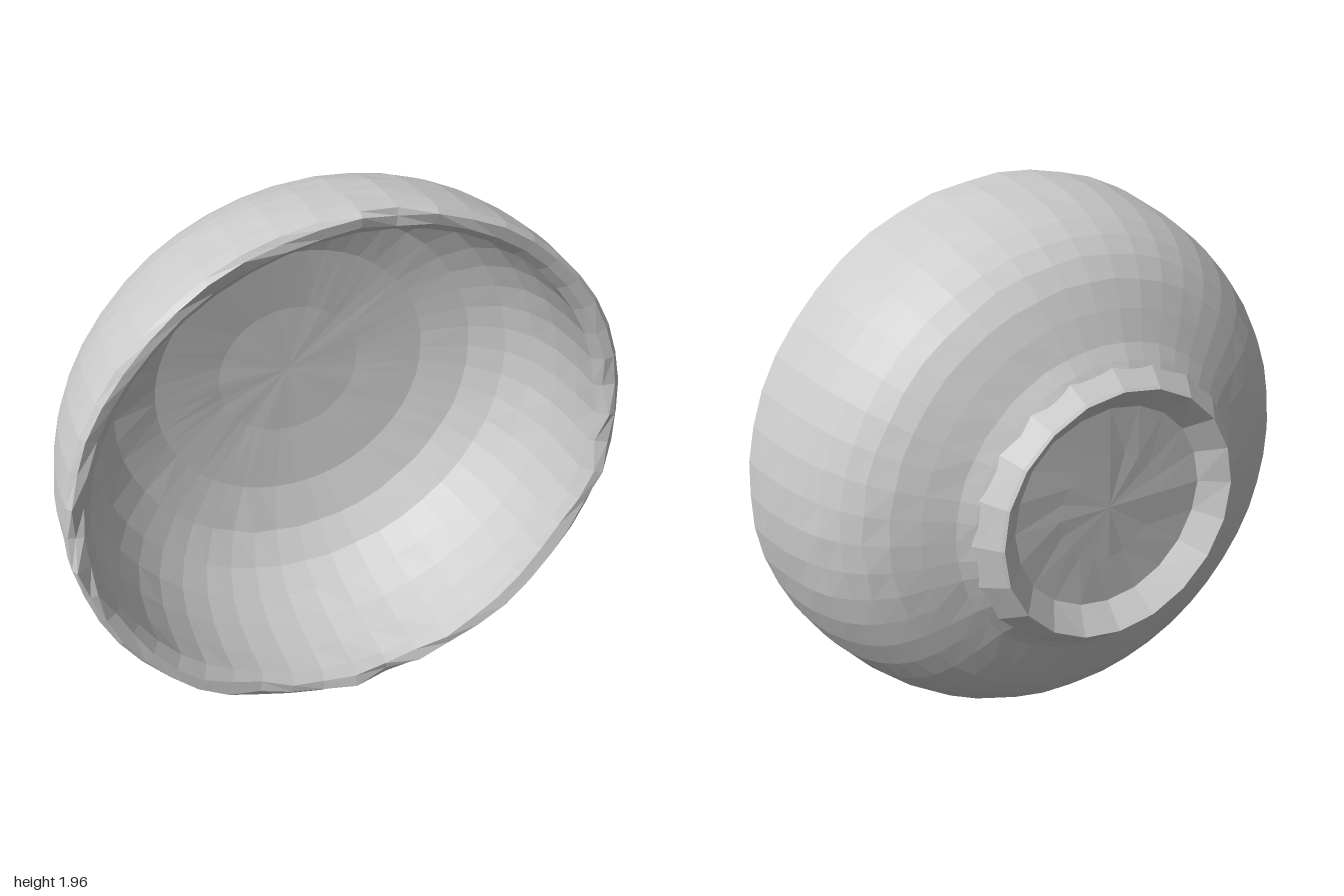
import * as THREE from 'three';

// Small deterministic wobble, keyed on position so shared corners stay joined
function wobble(x, y, z, k) {
  return Math.sin(x * 31 + k) * Math.sin(y * 29 + k * 2) * Math.cos(z * 17 + k * 3);
}

// Revolves a profile of [radius, depth] pairs about the z axis, with hand-cut facets
function turned(name, profile, segments, material) {
  const points = profile.map(([r, d]) => new THREE.Vector2(r, d));
  const geo = new THREE.LatheGeometry(points, segments).rotateX(Math.PI / 2);
  const p = geo.attributes.position;
  for (let i = 0; i < p.count; i++) {
    const x = p.getX(i), y = p.getY(i), z = p.getZ(i);
    // the rim is rougher than the walls
    const rough = z > 0.39 ? 0.014 : 0.004;
    const s = 1 + rough * wobble(x, y, z, 1);
    // the opening leans slightly, with its lower edge further forward
    const lean = z > 0 ? -0.035 * y * z : 0;
    p.setXYZ(i, x * s, y * s * 0.98, z + lean + rough * wobble(x, y, z, 4));
  }
  const flat = geo.toNonIndexed();
  flat.computeVertexNormals();
  const mesh = new THREE.Mesh(flat, material);
  mesh.name = name;
  return mesh;
}

export function createModel() {
  const clay = new THREE.MeshStandardMaterial({ color: 0xcccccc });
  clay.name = 'grey clay';

  const bowl = new THREE.Group();
  bowl.name = 'bowl';

  // Hollow foot ring and its recessed base, tucked into the wall
  const foot = turned('foot', [
    [0, -0.335], [0.2, -0.335], [0.375, -0.335], [0.463, -0.414], [0.472, -0.405], [0.53, -0.33], [0.55, -0.28],
  ], 20, clay);
  foot.position.y = -0.013;
  bowl.add(foot);

  // Rounded outer wall
  bowl.add(turned('outerWall', [
    [0.5, -0.345], [0.525, -0.33], [0.575, -0.295], [0.68, -0.25], [0.77, -0.205], [0.84, -0.15],
    [0.89, -0.09], [0.93, -0.02], [0.96, 0.06], [0.98, 0.14], [0.993, 0.23], [1.0, 0.32], [1.0, 0.385],
  ], 48, clay));

  // Uneven rim
  bowl.add(turned('rim', [
    [1.0, 0.385], [0.982, 0.402], [0.945, 0.397], [0.915, 0.365],
  ], 48, clay));

  // Hollow inside, running down to the floor
  bowl.add(turned('innerWall', [
    [0.915, 0.365], [0.913, 0.25], [0.9, 0.12], [0.865, 0.0], [0.8, -0.1],
    [0.69, -0.185], [0.52, -0.245], [0.27, -0.275], [0, -0.28],
  ], 48, clay));

  bowl.position.y = 0.98;

  const model = new THREE.Group();
  model.add(bowl);
  return model;
}
